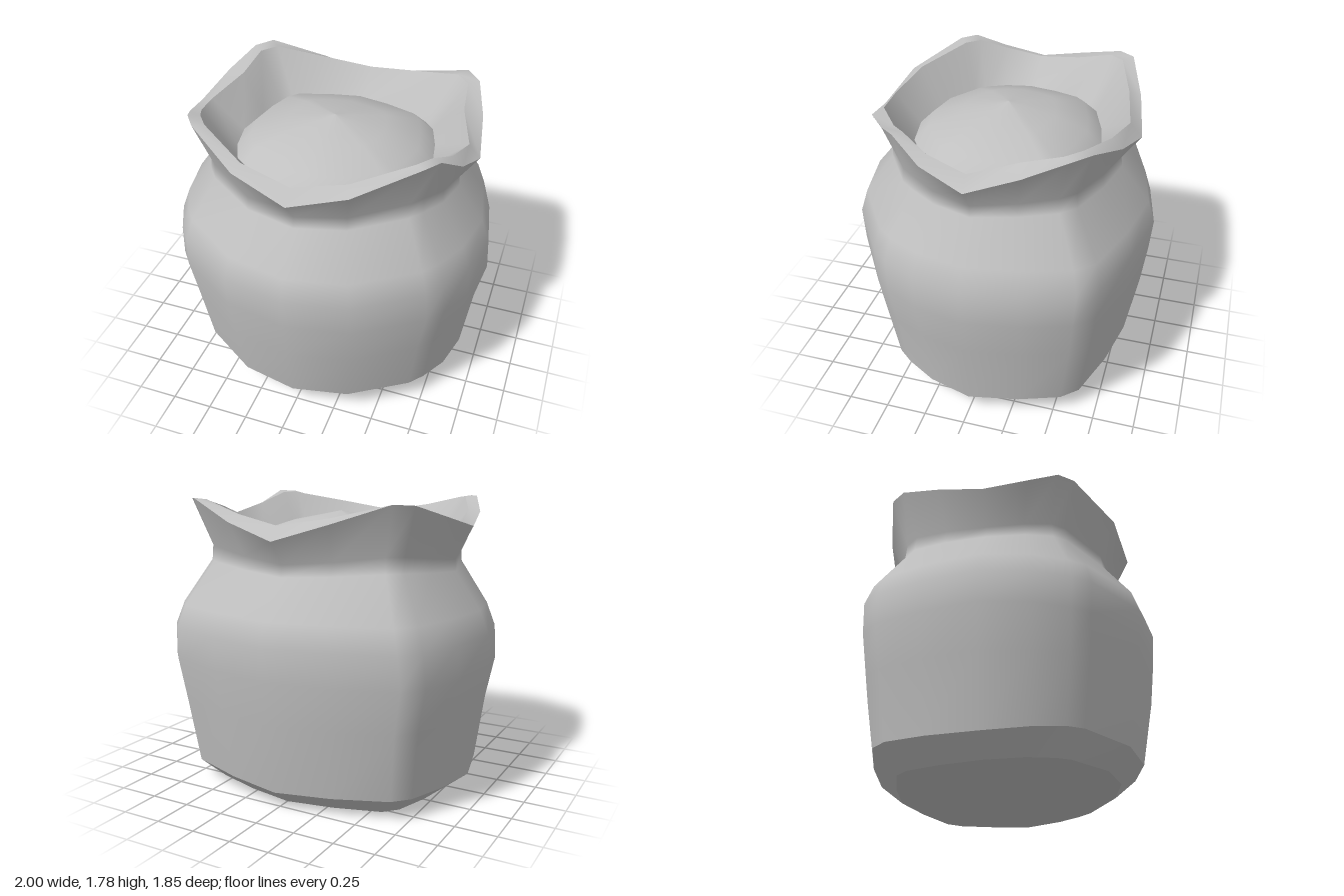
import * as THREE from 'three';

// Right half of the rounded-square plan, front to back: x, z, corner weight
const HALF = [
  [0, 1, 0], [0.38, 0.92, 0.42], [0.76, 0.65, 0.97], [0.84, 0.54, 1], [0.94, 0.32, 0.45],
  [1, 0, 0],
  [0.94, -0.37, 0.5], [0.85, -0.67, 0.95], [0.75, -0.79, 1], [0.38, -0.92, 0.42], [0, -1, 0],
];
const PLAN = [...HALF, ...HALF.slice(1, -1).reverse().map(([x, z, w]) => [-x, z, w])];

// Skins a stack of rings; each ring: half width, half depth, height,
// corner lift, front lift, lift at the right side, inward fold of the back half
function loft(name, rings, material) {
  const pos = [], index = [], n = PLAN.length;
  for (const [rx, rz, y, corner = 0, front = 0, side = 0, fold = 0] of rings) {
    for (const [x, z, w] of PLAN) {
      const pinch = z < 0 && Math.abs(x) > 0.9 ? 1 - fold : 1;
      const lift = w * corner + Math.max(0, z) * front + Math.max(0, -x) * (1 - w) * side;
      pos.push(x * rx * pinch, y + lift, z * rz);
    }
  }
  for (let r = 0; r < rings.length - 1; r++) {
    for (let i = 0; i < n; i++) {
      const j = (i + 1) % n;
      const a = r * n + i, b = r * n + j, c = b + n, d = a + n;
      index.push(a, b, c, a, c, d);
    }
  }
  const geometry = new THREE.BufferGeometry();
  geometry.setAttribute('position', new THREE.Float32BufferAttribute(pos, 3));
  geometry.setIndex(index);
  geometry.computeVertexNormals();
  const mesh = new THREE.Mesh(geometry, material);
  mesh.name = name;
  return mesh;
}

export function createModel() {
  const cloth = new THREE.MeshStandardMaterial({ color: 0xc0c0c0, side: THREE.DoubleSide });
  cloth.name = 'plain grey';
  const group = new THREE.Group();
  group.name = 'openSack';

  const bottom = [0.75, 0.67, 0, 0, 0.05];
  const hem = [0.89, 0.81, 0.11, 0.02, 0.05];
  const lipOuter = [0.87, 0.8, 1.57, 0.21, 0, 0.06];
  const lipInner = [0.8, 0.725, 1.65, 0.12, 0, 0, 0.06];
  const throat = [0.6, 0.57, 1.47];

  group.add(
    // Underside and the chamfer around it
    loft('underside', [[0, 0, 0.01], bottom], cloth),
    loft('lowerEdge', [bottom, hem], cloth),
    // Bulging body, tied-in neck and flared collar
    loft('body', [
      hem,
      [0.945, 0.88, 0.54],
      [1, 0.91, 0.8],
      [0.985, 0.925, 1.0],
      [0.93, 0.88, 1.14],
      [0.77, 0.7, 1.36, 0.04],
      [0.765, 0.69, 1.43, 0.06],
      lipOuter,
    ], cloth),
    // Thick rim and the inside of the mouth
    loft('rim', [lipOuter, lipInner], cloth),
    loft('mouth', [lipInner, throat], cloth),
    // Domed contents
    loft('filling', [
      [0.61, 0.58, 1.46],
      [0.51, 0.48, 1.56],
      [0.3, 0.28, 1.63],
      [0.1, 0.09, 1.67],
      [0, 0, 1.69],
    ], cloth),
  );
  return group;
}
